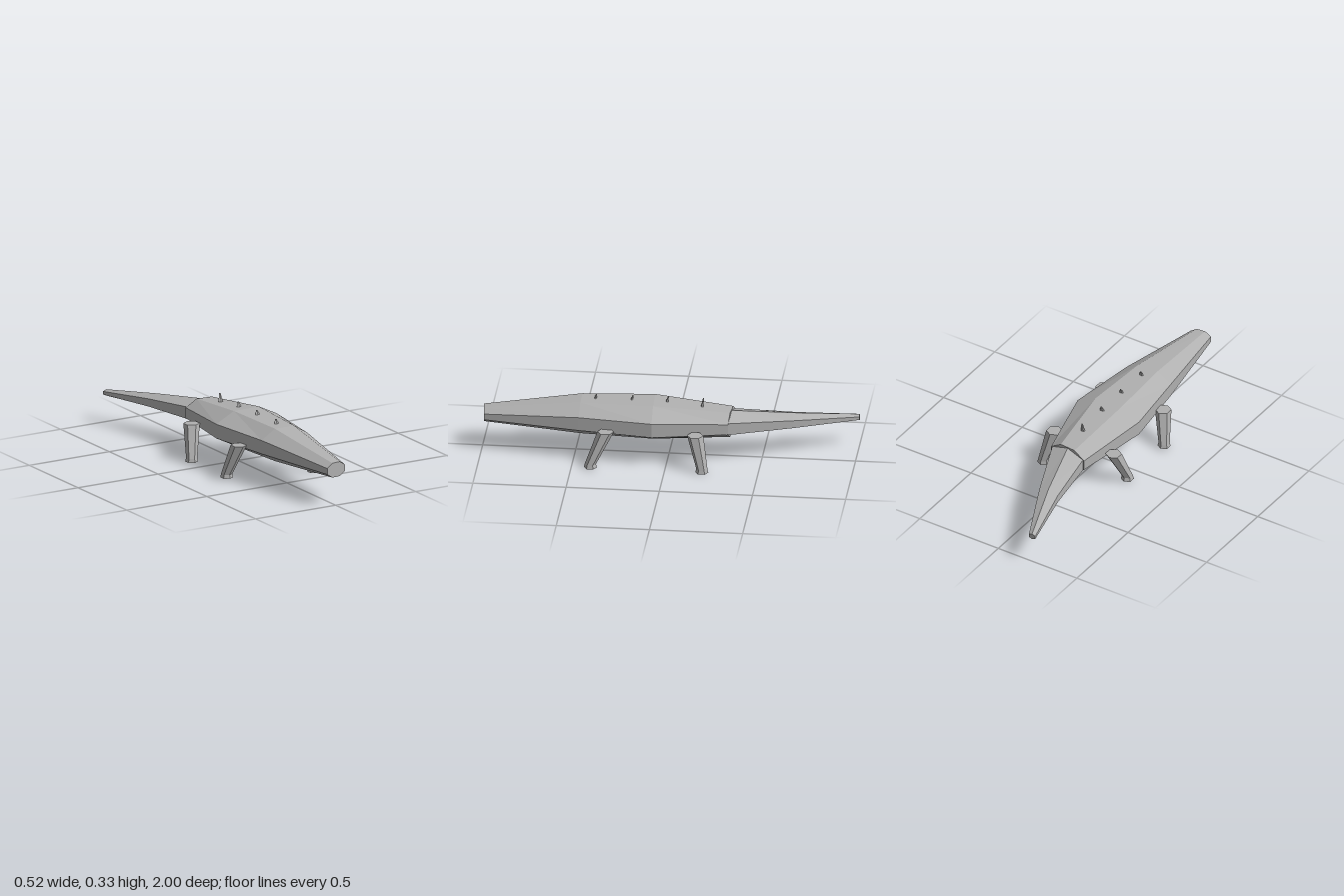
import * as THREE from 'three';

const grey = new THREE.MeshStandardMaterial({ color: 0xb0b0b0, flatShading: true });
grey.name = 'grey';

function part(name, geometry, parent) {
  const mesh = new THREE.Mesh(geometry, grey);
  mesh.name = name;
  parent.add(mesh);
  return mesh;
}

// Closed loft through polygon rings, listed front to back.
// Each ring: centre x, y, z, half width, half height, z slant per unit x.
function loft(rings, sides, phase) {
  const positions = [];
  const stretch = 1 / Math.cos(Math.PI / sides);
  const points = rings.map(([cx, cy, cz, hw, hh, slant]) => {
    const ring = [];
    for (let j = 0; j < sides; j++) {
      const a = phase + (j / sides) * Math.PI * 2;
      const dx = Math.cos(a) * hw * stretch;
      ring.push([cx + dx, cy + Math.sin(a) * hh * stretch, cz + dx * slant]);
    }
    return ring;
  });
  const tri = (a, b, c) => positions.push(...a, ...b, ...c);
  const last = rings.length - 1;
  for (let j = 0; j < sides; j++) {
    const k = (j + 1) % sides;
    for (let i = 0; i < last; i++) {
      const a = points[i][j], b = points[i][k], c = points[i + 1][k], d = points[i + 1][j];
      tri(a, d, b);
      tri(b, d, c);
    }
    tri(rings[0].slice(0, 3), points[0][j], points[0][k]);
    tri(rings[last].slice(0, 3), points[last][k], points[last][j]);
  }
  const g = new THREE.BufferGeometry();
  g.setAttribute('position', new THREE.Float32BufferAttribute(positions, 3));
  g.computeVertexNormals();
  return g;
}

// Upright prism whose vertices slide sideways with height, from base to top.
function leaningPrism(rTop, rBottom, sides, base, top) {
  const h = top[1] - base[1];
  const g = new THREE.CylinderGeometry(rTop, rBottom, h, sides, 1);
  const p = g.attributes.position;
  for (let i = 0; i < p.count; i++) {
    const t = p.getY(i) / h + 0.5;
    p.setXYZ(i,
      p.getX(i) + base[0] + (top[0] - base[0]) * t,
      base[1] + h * t,
      p.getZ(i) + base[2] + (top[2] - base[2]) * t);
  }
  g.computeVertexNormals();
  return g;
}

export function createModel() {
  const model = new THREE.Group();
  model.name = 'reptile';

  // Octagonal body from blunt snout to hips
  part('body', loft([
    [0.008, 0.195, 0.992, 0.06, 0.04, -0.12],
    [0.003, 0.212, 0.47, 0.143, 0.09, 0],
    [0.003, 0.212, 0.08, 0.192, 0.095, -0.03],
    [-0.008, 0.197, -0.335, 0.11, 0.07, 0.08],
  ], 8, Math.PI / 8), model);

  // Ridged tail swinging to the right
  part('tail', loft([
    [-0.005, 0.196, -0.325, 0.104, 0.058, 0.08],
    [-0.098, 0.18, -0.66, 0.058, 0.037, 0],
    [-0.215, 0.162, -1.0, 0.02, 0.015, 0],
  ], 6, Math.PI / 6), model);

  // Legs: hip position, then sole position
  const legs = [
    ['frontLeftLeg', [0.19, 0.195, 0.32], [0.231, 0.002, 0.398]],
    ['frontRightLeg', [-0.19, 0.195, 0.32], [-0.232, 0.008, 0.264]],
    ['backLeftLeg', [0.19, 0.195, -0.16], [0.231, 0.0, -0.2]],
    ['backRightLeg', [-0.19, 0.195, -0.165], [-0.232, 0.007, -0.095]],
  ];
  for (const [name, hip, sole] of legs) {
    const leg = new THREE.Group();
    leg.name = name;
    const ankle = [sole[0], sole[1] + 0.02, sole[2]];
    part('shank', leaningPrism(0.044, 0.03, 6, ankle, hip), leg);
    part('foot', leaningPrism(0.03, 0.035, 6, sole, ankle), leg);
    model.add(leg);
  }

  // Small back-swept spines along the back
  const spines = [[0.395, 0.3], [0.2, 0.302], [0.01, 0.302], [-0.178, 0.28]];
  for (const [z, y] of spines) {
    const g = leaningPrism(0.005, 0.015, 5, [0, 0, 0], [0, 0.328 - y, -0.012]);
    g.scale(1, 1, 0.5);
    g.translate(-0.002, y, z);
    part('spine', g, model);
  }

  return model;
}
